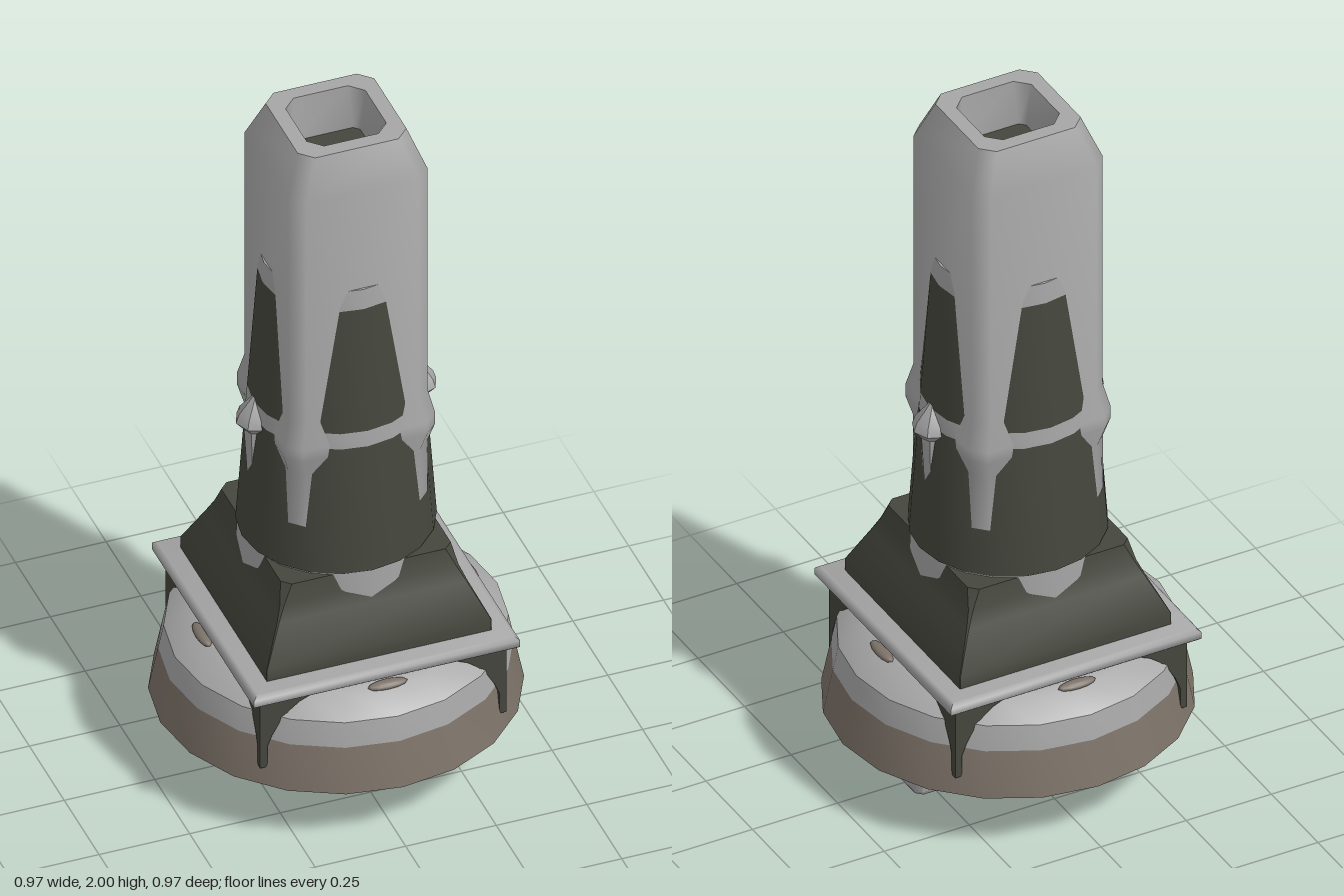
import * as THREE from 'three';
import { toCreasedNormals } from 'three/addons/utils/BufferGeometryUtils.js';

const mat = (name, color) => {
  const m = new THREE.MeshStandardMaterial({ color });
  m.name = name;
  return m;
};

// Chamfered-square sections [y, half width, half width of flat] joined in a loop
function loft(sections, crease = 0.9) {
  const pos = [];
  const ring = ([y, h, c]) => [[h, -c], [h, c], [c, h], [-c, h], [-h, c], [-h, -c], [-c, -h], [c, -h]]
    .map(([x, z]) => [x, y, z]);
  for (let s = 0; s < sections.length - 1; s++) {
    const b = ring(sections[s]), t = ring(sections[s + 1]);
    for (let i = 0; i < 8; i++) {
      const j = (i + 1) % 8;
      pos.push(...b[i], ...t[i], ...b[j], ...b[j], ...t[i], ...t[j]);
    }
  }
  const g = new THREE.BufferGeometry();
  g.setAttribute('position', new THREE.Float32BufferAttribute(pos, 3));
  g.computeVertexNormals();
  return toCreasedNormals(g, crease);
}

// Turned profile of [radius, y] points, bottom to top
function turned(points, sides = 20, crease = 0.6) {
  const g = new THREE.LatheGeometry(points.map(([r, y]) => new THREE.Vector2(r, y)), sides);
  return toCreasedNormals(g, crease);
}

export function createModel() {
  const group = new THREE.Group();
  const grey = mat('stone grey', 0xa6a6a6);
  const dark = mat('dark olive', 0x45463d);
  const brown = mat('warm brown', 0x7c7268);
  const add = (name, geometry, material, parent = group) => {
    const m = new THREE.Mesh(geometry, material);
    m.name = name;
    parent.add(m);
    return m;
  };

  // Round base with a recessed underside
  add('baseRim', turned([[0.33, 0.13], [0.39, 0.13], [0.485, 0.18], [0.459, 0.31]]), brown);
  add('baseTop', turned([[0.459, 0.31], [0.445, 0.38], [0.38, 0.43], [0.34, 0.44], [0, 0.44]]), grey);
  add('baseRecess', turned([[0, 0.21], [0.25, 0.21], [0.27, 0.17], [0.33, 0.13]]), grey);

  // Studs on the base, one below each side of the plate
  for (let i = 0; i < 4; i++) {
    const a = i * Math.PI / 2;
    const stud = add('baseStud', new THREE.SphereGeometry(1, 12, 8), brown);
    stud.scale.set(0.055, 0.012, 0.018);
    stud.position.set(Math.sin(a) * 0.37, 0.431, Math.cos(a) * 0.37);
    stud.rotation.y = a;
  }

  // Square plate and the arched skirt whose corners end in points
  add('squarePlate', loft([
    [0.44, 0.001, 0.001], [0.44, 0.355, 0.355], [0.45, 0.367, 0.367],
    [0.47, 0.367, 0.367], [0.48, 0.355, 0.355], [0.48, 0.001, 0.001]]), grey);
  const arch = new THREE.Shape();
  arch.moveTo(-0.34, 0.445);
  arch.lineTo(-0.34, 0.23);
  arch.quadraticCurveTo(-0.3, 0.4, -0.2, 0.43);
  arch.lineTo(0.2, 0.43);
  arch.quadraticCurveTo(0.3, 0.4, 0.34, 0.23);
  arch.lineTo(0.34, 0.445);
  const panel = new THREE.ExtrudeGeometry(arch, { depth: 0.02, bevelEnabled: false, curveSegments: 6 });
  panel.translate(0, 0, 0.32);
  for (let i = 0; i < 4; i++) add('skirtPanel', panel, dark).rotation.y = i * Math.PI / 2;

  // Sloped square roof
  add('roof', loft([
    [0.478, 0.31, 0.309], [0.515, 0.31, 0.309], [0.62, 0.262, 0.258],
    [0.66, 0.246, 0.238], [0.715, 0.235, 0.212], [0.715, 0.1, 0.09]], 0.5), dark);

  // Tapered round sleeve in bands
  const r = y => 0.26 - (y - 0.72) * 0.0715;
  const bands = [[0.72, 1.1, dark], [1.1, 1.147, grey], [1.147, 1.52, dark], [1.52, 1.58, grey]];
  add('sleeveFoot', turned([[0.257, 0.6], [0.257, 0.72]]), grey);
  for (const [y0, y1, m] of bands) add('sleeveBand', turned([[r(y0), y0], [r(y1), y1]]), m);
  add('sleeveLip', turned([[r(1.58), 1.58], [0.15, 1.582]]), grey);

  // Hollow square column, flared at the collar
  add('column', loft([
    [0.75, 0.192, 0.157], [1.02, 0.193, 0.158], [1.075, 0.208, 0.171], [1.11, 0.208, 0.171],
    [1.18, 0.192, 0.156], [1.89, 0.192, 0.156], [2, 0.15, 0.115],
    [2, 0.11, 0.075], [1.87, 0.1, 0.085]]), grey);
  add('columnFloor', loft([[1.87, 0.101, 0.086], [1.87, 0.001, 0.001]]), dark);

  // Pointed studs on both sides
  for (const s of [-1, 1]) {
    const spike = add('sideSpike', turned(
      [[0, 0.82], [0.028, 0.93], [0.036, 1.06], [0.058, 1.085], [0.05, 1.11], [0.022, 1.145], [0, 1.175]], 8), grey);
    spike.position.x = s * 0.218;
  }

  // Hollow square peg below the base
  const peg = new THREE.Group();
  peg.name = 'peg';
  peg.position.x = 0.232;
  group.add(peg);
  add('pegTube', loft([
    [0.06, 0.04, 0.03], [0, 0.05, 0.035], [0, 0.072, 0.055],
    [0.012, 0.078, 0.062], [0.21, 0.078, 0.062]]), grey, peg);
  add('pegHollow', loft([[0.06, 0.001, 0.001], [0.06, 0.041, 0.031]]), dark, peg);

  // Curved tongue beside the peg
  const tongue = new THREE.Shape();
  tongue.moveTo(0.11, 0.14);
  tongue.quadraticCurveTo(0.14, 0.09, 0.135, 0.02);
  tongue.lineTo(0.16, 0.02);
  tongue.lineTo(0.16, 0.14);
  const tongueGeo = new THREE.ExtrudeGeometry(tongue, { depth: 0.06, bevelEnabled: false });
  tongueGeo.translate(0, 0, -0.03);
  add('tongue', tongueGeo, grey);

  // Link and lying block inside the recess
  const link = add('link', new THREE.TorusGeometry(0.045, 0.012, 6, 12), grey);
  link.rotation.x = Math.PI / 2;
  link.position.set(0.05, 0.17, 0);
  const block = add('recessBlock', toCreasedNormals(new THREE.CylinderGeometry(0.07, 0.07, 0.24, 8), 0.5), grey);
  block.rotation.z = Math.PI / 2;
  block.scale.set(0.8, 1, 1);
  block.position.set(-0.13, 0.195, 0);

  return group;
}
